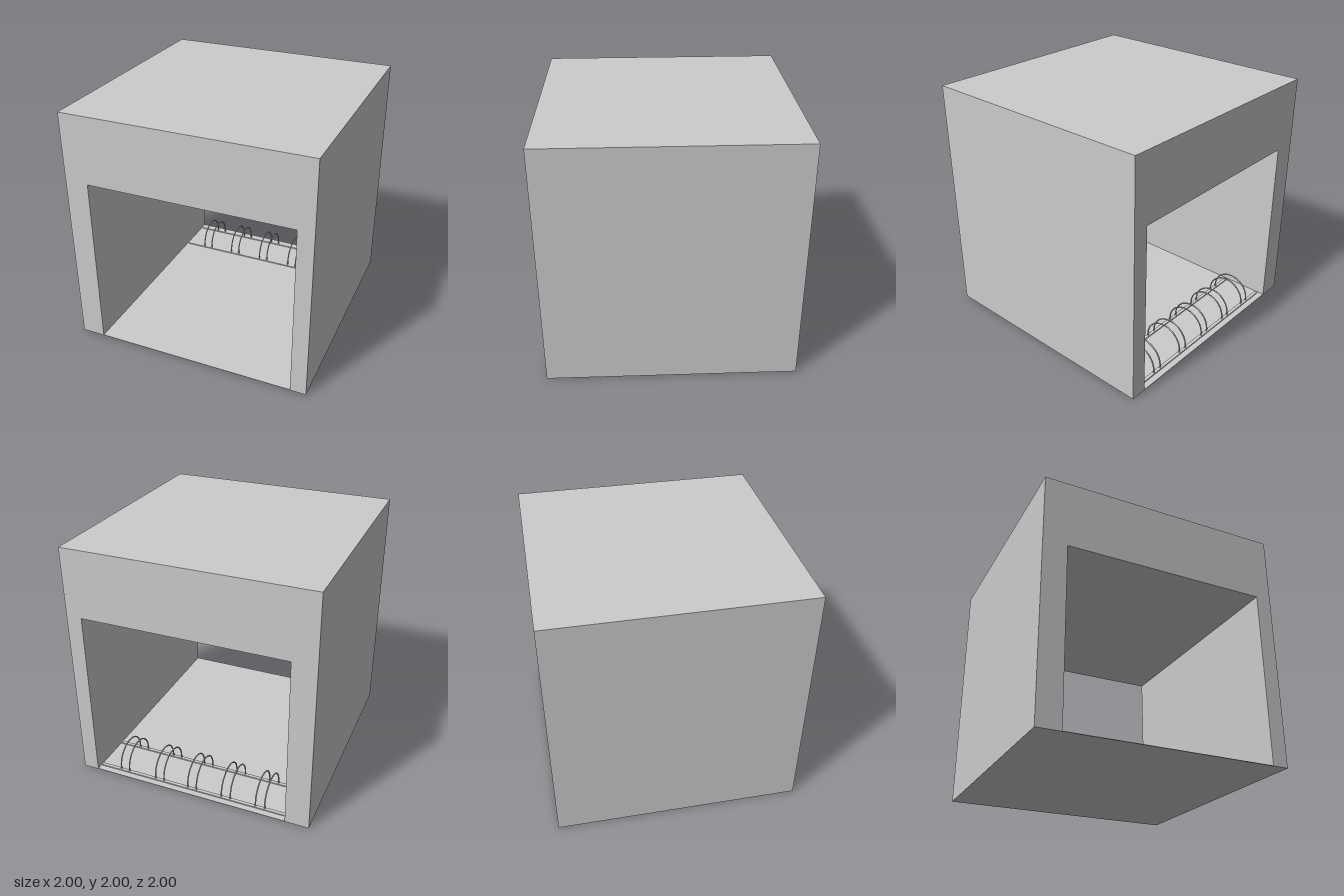
import * as THREE from 'three';

const material = new THREE.MeshStandardMaterial({ color: 0xcccccc });
const FLOOR = 0.004;
const RACK_Z = -0.77;
const HOOP_R = 0.165;
const ROD_R = 0.006;

function addMesh(parent, name, geometry, x = 0, y = 0, z = 0) {
  const mesh = new THREE.Mesh(geometry, material);
  mesh.name = name;
  mesh.position.set(x, y, z);
  parent.add(mesh);
  return mesh;
}

// Upright legs joined by a half circle, lying in the yz plane
function hoopGeometry() {
  const spring = 0.2 - HOOP_R;
  const points = [new THREE.Vector3(0, FLOOR, HOOP_R)];
  for (let i = 0; i <= 16; i++) {
    const a = (i / 16) * Math.PI;
    points.push(new THREE.Vector3(0, spring + HOOP_R * Math.sin(a), HOOP_R * Math.cos(a)));
  }
  points.push(new THREE.Vector3(0, FLOOR, -HOOP_R));
  return new THREE.TubeGeometry(new THREE.CatmullRomCurve3(points), 40, ROD_R, 8);
}

export function createModel() {
  const model = new THREE.Group();
  model.name = 'bicycleShelter';

  // Walls and thick roof around an off-centre passage open at both ends
  const outline = [
    [-1, FLOOR], [-0.805, FLOOR], [-0.805, 1.44], [0.87, 1.44],
    [0.87, FLOOR], [1, FLOOR], [1, 2], [-1, 2],
  ].map(([x, y]) => new THREE.Vector2(x, y));
  const shell = new THREE.ExtrudeGeometry(new THREE.Shape(outline), { depth: 2, bevelEnabled: false });
  addMesh(model, 'wallsAndRoof', shell, 0, 0, -1);

  // Thin floor
  addMesh(model, 'floor', new THREE.BoxGeometry(2, FLOOR, 2), 0, FLOOR / 2, 0);

  // Bicycle rack near the back: two flat rails carrying pairs of hoops
  const rack = new THREE.Group();
  rack.name = 'bicycleRack';
  rack.position.z = RACK_Z;
  model.add(rack);

  for (const side of [-1, 1]) {
    addMesh(rack, 'rackRail', new THREE.BoxGeometry(1.655, 0.009, 0.028),
      0.037, FLOOR + 0.0045, side * HOOP_R);
  }

  const hoop = hoopGeometry();
  for (const x of [-0.576, -0.282, 0.018, 0.314, 0.64]) {
    for (const side of [-1, 1]) addMesh(rack, 'wheelHoop', hoop, x + side * 0.039);
  }

  return model;
}
